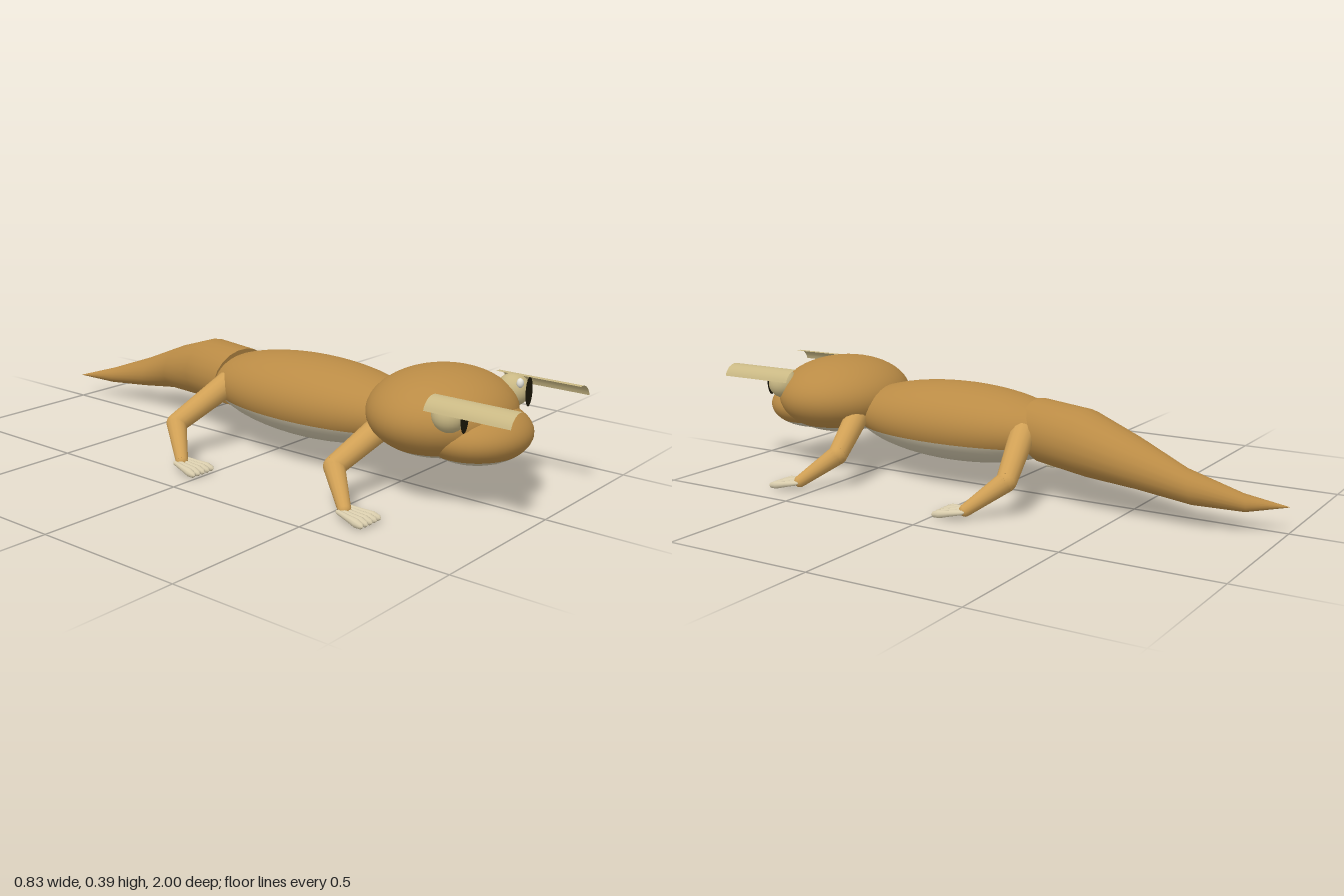
import * as THREE from 'three';

const mat = (name, color, side = THREE.FrontSide) => {
  const m = new THREE.MeshStandardMaterial({ color, side });
  m.name = name;
  return m;
};

export function createModel() {
  const skin = mat('tan skin', 0xba8b45);
  const limb = mat('light tan limbs', 0xd0a055);
  const belly = mat('pale belly', 0xcfc5aa);
  const claw = mat('cream toes', 0xd8ccac);
  const eyeTan = mat('eye cream', 0xc9b884, THREE.DoubleSide);
  const black = mat('pupil black', 0x1c1808, THREE.DoubleSide);
  const white = mat('highlight white', 0xe8e6dc);

  const model = new THREE.Group();
  model.name = 'lizard';
  const V = (x, y, z) => new THREE.Vector3(x, y, z);

  const add = (parent, name, geo, material, pos = [0, 0, 0], scale = [1, 1, 1]) => {
    const mesh = new THREE.Mesh(geo, material);
    mesh.name = name;
    mesh.position.set(...pos);
    mesh.scale.set(...scale);
    parent.add(mesh);
    return mesh;
  };

  // Ellipsoid with a pale underside below the height "cut" (-1..1)
  const twoTone = (name, pos, radii, cut) => {
    const t = Math.acos(cut);
    add(model, name + 'Top', new THREE.SphereGeometry(1, 40, 24, 0, Math.PI * 2, 0, t), skin, pos, radii);
    add(model, name + 'Underside', new THREE.SphereGeometry(1, 40, 12, 0, Math.PI * 2, t, Math.PI - t), belly, pos, radii);
  };
  twoTone('body', [0, 0.217, 0.15], [0.178, 0.132, 0.42], -0.35);
  twoTone('head', [0, 0.264, 0.64], [0.247, 0.133, 0.22], -0.7);
  twoTone('snout', [0, 0.22, 0.762], [0.18, 0.09, 0.16], -0.6);

  // Tail: rings of [x, y, z, radius, yaw, pitch], curving sideways to a point
  const base = [0.003, 0.22, -0.175, 0.107, 0.26, 0.25];
  const rings = [
    [0.003, 0.22, -0.175, 0.0001, 0.26, 0.25], base, base,
    [0.055, 0.212, -0.365, 0.107, 0.23, 0.15],
    [0.083, 0.18, -0.54, 0.083, 0.12, 0.2],
    [0.09, 0.13, -0.72, 0.056, -0.27, 0.2],
    [0.055, 0.095, -0.88, 0.028, -0.4, 0.1],
    [0, 0.085, -1, 0.0005, -0.4, 0],
  ];
  const sides = 20, pts = [], idx = [];
  rings.forEach(([x, y, z, r, yaw, pitch], i) => {
    for (let j = 0; j < sides; j++) {
      const a = (j / sides) * Math.PI * 2;
      const p = V(r * Math.cos(a), r * Math.sin(a), 0)
        .applyEuler(new THREE.Euler(pitch, -yaw, 0)).add(V(x, y, z));
      pts.push(p.x, p.y, p.z);
      if (i === rings.length - 1) continue;
      const k = (j + 1) % sides, A = i * sides, B = A + sides;
      idx.push(A + j, B + j, A + k, A + k, B + j, B + k);
    }
  });
  const tailGeo = new THREE.BufferGeometry();
  tailGeo.setAttribute('position', new THREE.Float32BufferAttribute(pts, 3));
  tailGeo.setIndex(idx);
  tailGeo.computeVertexNormals();
  add(model, 'tail', tailGeo, skin);

  // Tapered rod between two points
  const rod = (parent, name, a, b, ra, rb, material) => {
    const d = b.clone().sub(a);
    const m = add(parent, name, new THREE.CylinderGeometry(rb, ra, d.length(), 14), material);
    m.position.copy(a).addScaledVector(d, 0.5);
    m.quaternion.setFromUnitVectors(V(0, 1, 0), d.normalize());
  };

  // Toe: flattened teardrop, narrow at the wrist and widest near the tip
  const toeGeo = new THREE.LatheGeometry(
    [[0.001, 0], [0.007, 0.008], [0.01, 0.05], [0.0135, 0.085], [0.009, 0.106], [0, 0.113]]
      .map(([r, y]) => new THREE.Vector2(r, y)), 10);

  const leg = (name, s, z) => {
    const g = new THREE.Group();
    g.name = name;
    const shoulder = V(s * 0.09, 0.225, z - 0.045), elbow = V(s * 0.285, 0.117, z - 0.1), wrist = V(s * 0.363, 0.03, z);
    rod(g, 'upperLeg', shoulder, elbow, 0.042, 0.033, limb);
    add(g, 'elbow', new THREE.SphereGeometry(0.033, 14, 10), limb, elbow.toArray());
    rod(g, 'lowerLeg', elbow, wrist, 0.033, 0.02, limb);
    add(g, 'wrist', new THREE.SphereGeometry(0.02, 12, 8), limb, wrist.toArray());
    for (let i = -2; i <= 2; i++) {
      const start = V(s * 0.362 + i * 0.013, 0.03, z - 0.012);
      const end = V(s * 0.362 + i * 0.021, 0.0135, z + 0.092);
      const toe = add(g, 'toe', toeGeo, claw, start.toArray());
      toe.quaternion.setFromUnitVectors(V(0, 1, 0), end.sub(start).normalize());
    }
    model.add(g);
  };
  for (const s of [1, -1]) {
    const side = s > 0 ? 'Left' : 'Right';
    leg('front' + side + 'Leg', s, 0.555);
    leg('rear' + side + 'Leg', s, -0.1);

    // Eye with a slit pupil and a long curved lid reaching forward
    const eye = new THREE.Group();
    eye.name = 'eye' + side;
    eye.position.set(s * 0.175, 0.312, 0.775);
    add(eye, 'eyeball', new THREE.SphereGeometry(0.051, 24, 16), eyeTan);
    add(eye, 'pupil', new THREE.CircleGeometry(1, 20), black, [s * 0.003, 0.002, 0.0525], [0.021, 0.046, 1]);
    const a0 = s > 0 ? 1.3 : -2.9 + Math.PI * 2 - 1.3 - 0.45 + 0.0;
    const arc = [];
    for (let i = 0; i <= 8; i++) {
      const a = 0.25 + (i / 8) * 1.5;
      arc.push([s * 0.051 * Math.cos(a), 0.051 * Math.sin(a)]);
    }
    const lidPts = arc.flatMap(([x, y]) => [x, y, -0.055, x, y, 0.225]);
    const lidIdx = [];
    for (let i = 0; i < 16; i += 2) {
      if (s > 0) lidIdx.push(i, i + 1, i + 2, i + 2, i + 1, i + 3);
      else lidIdx.push(i, i + 2, i + 1, i + 2, i + 3, i + 1);
    }
    const lid = new THREE.BufferGeometry();
    lid.setAttribute('position', new THREE.Float32BufferAttribute(lidPts, 3));
    lid.setIndex(lidIdx);
    lid.computeVertexNormals();
    add(eye, 'lid', lid, eyeTan);
    model.add(eye);
  }
  // Glint on the left eye
  add(model, 'eyeGlint', new THREE.SphereGeometry(1, 12, 8), white, [0.145, 0.345, 0.815], [0.011, 0.015, 0.011]);

  return model;
}
